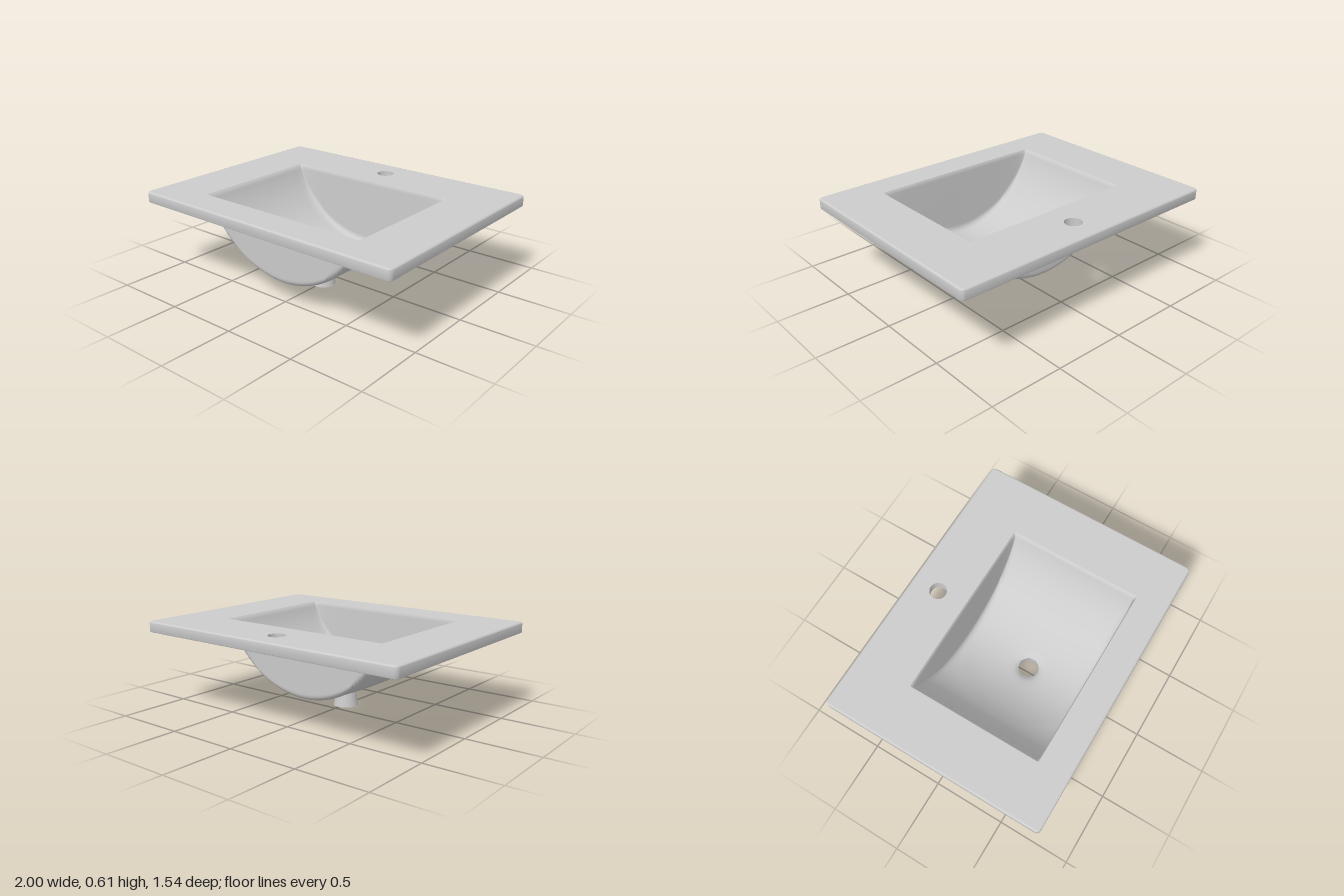
import * as THREE from 'three';
import { toCreasedNormals } from 'three/addons/utils/BufferGeometryUtils.js';

const TOP = 0.61, BOTTOM = 0.535, RECESS = 0.546;
const HALF_X = 1, HALF_Z = 0.77, CORNER = 0.03;
const DRAIN_Z = 0.12, DRAIN_R = 0.07, TAP_Z = -0.58, TAP_R = 0.058;
const ARC_R = 0.656, ARC_Y = 0.801;            // circular section of the basin
const U_MAX = Math.acos((ARC_Y - TOP) / ARC_R); // arc angle at the rim
const FRONT = 0.43, BACK = 0.488;              // drain to end walls
const DEPTH = TOP - (ARC_Y - ARC_R), FILLET = 0.04, FLARE = 1.015;

const material = new THREE.MeshStandardMaterial({ color: 0xcccccc, side: THREE.DoubleSide });

function part(name, geometry) {
  const mesh = new THREE.Mesh(geometry, material);
  mesh.name = name;
  return mesh;
}

// Indexed grid of rows of points, optionally closed around each row
function loft(rows) {
  const n = rows[0].length, index = [];
  for (let j = 0; j < rows.length - 1; j++) {
    for (let i = 0; i < n; i++) {
      const k = (i + 1) % n, a = j * n, b = a + n;
      index.push(a + i, b + k, b + i, a + i, a + k, b + k);
    }
  }
  const g = new THREE.BufferGeometry().setFromPoints(rows.flat());
  g.setIndex(index);
  g.computeVertexNormals();
  return g;
}

// Rounded slab outline, inset from the edge
function outline(inset) {
  const pts = [], r = Math.max(CORNER - inset, 0.008);
  for (let q = 0; q < 4; q++) {
    const sx = q === 0 || q === 3 ? 1 : -1, sz = q < 2 ? 1 : -1;
    for (let i = 0; i <= 6; i++) {
      const a = (q + i / 6) * Math.PI / 2;
      pts.push(new THREE.Vector2(
        sx * (HALF_X - inset - r) + r * Math.cos(a),
        sz * (HALF_Z - inset - r) + r * Math.sin(a)));
    }
  }
  return pts;
}

// Flat face with the basin opening and the tap hole cut out
function face(inset, y, x, zBack, zFront) {
  const shape = new THREE.Shape(outline(inset));
  shape.holes.push(
    new THREE.Path([
      new THREE.Vector2(-x, -zFront), new THREE.Vector2(-x, -zBack),
      new THREE.Vector2(x, -zBack), new THREE.Vector2(x, -zFront)]),
    new THREE.Path().absarc(0, -TAP_Z, TAP_R, 0, Math.PI * 2, true));
  return new THREE.ShapeGeometry(shape, 24).rotateX(-Math.PI / 2).translate(0, y, 0);
}

// Basin surface: u is the angle across, v the length along floor, fillet and end wall
function basinPoint(u, v) {
  const length = v > 0 ? FRONT : BACK, flat = length - FILLET - 0.01;
  const a = Math.abs(v), bend = FILLET * Math.PI / 2;
  let z = a, h = 0;
  if (a > flat + bend) {
    z = flat + FILLET;
    h = FILLET + a - flat - bend;
  } else if (a > flat) {
    const t = (a - flat) / FILLET;
    z = flat + FILLET * Math.sin(t);
    h = FILLET * (1 - Math.cos(t));
  }
  z = Math.sign(v) * (z + 0.01 * h / DEPTH);
  let x = ARC_R * Math.sin(u);
  const depth = TOP - (ARC_Y - ARC_R * Math.cos(u)), f = 1 - h / DEPTH;
  // Floor falls gently to the drain, then rolls over into it
  const d = Math.hypot(x, z);
  const dip = 0.03 * Math.max(0, 1 - d / 0.45) + 0.02 * Math.exp((DRAIN_R - d) / 0.018);
  const y = TOP - f * (depth + dip * Math.max(depth, 0) / DEPTH);
  // Softened rim
  const k = 1 + (FLARE - 1) * Math.max(0, (y - TOP + 0.025) / 0.025) ** 2;
  return new THREE.Vector3(x * k, y, DRAIN_Z + z * k);
}

function basinGeometry() {
  const rows = [], rings = 80, n = 160;
  const wall = DEPTH - FILLET + FILLET * Math.PI / 2 - FILLET - 0.01;
  for (let j = 0; j <= rings; j++) {
    const t = j / rings, row = [];
    for (let i = 0; i < n; i++) {
      const a = i / n * Math.PI * 2, c = Math.cos(a), s = Math.sin(a);
      const m = 1 / Math.max(Math.abs(c), Math.abs(s));
      const vMax = (s > 0 ? FRONT : BACK) + wall;
      const u = THREE.MathUtils.lerp(Math.asin(DRAIN_R * c / ARC_R), U_MAX * c * m, t);
      const v = THREE.MathUtils.lerp(DRAIN_R * s, vMax * s * m, t);
      row.push(basinPoint(u, v));
    }
    rows.push(row);
  }
  return loft(rows);
}

export function createModel() {
  const group = new THREE.Group();
  group.name = 'washbasin';

  // Slab: top face, rounded edge with stepped underside, recessed bottom face
  const rimX = ARC_R * Math.sin(U_MAX) * FLARE;
  group.add(part('countertop', face(0.012, TOP, rimX,
    DRAIN_Z - BACK * FLARE, DRAIN_Z + FRONT * FLARE)));
  const edge = [
    [0.012, TOP], [0.006, TOP - 0.0016], [0.0016, TOP - 0.006], [0, TOP - 0.012],
    [0, BOTTOM + 0.008], [0.0024, BOTTOM + 0.0024], [0.008, BOTTOM],
    [0.095, BOTTOM], [0.1, RECESS]];
  const edgeRows = edge.map(([inset, y]) =>
    outline(inset).map(p => new THREE.Vector3(p.x, y, p.y)));
  group.add(part('countertopEdge', toCreasedNormals(loft(edgeRows), 0.7)));
  group.add(part('underside', face(0.1, RECESS, 0.604,
    DRAIN_Z - BACK + 0.001, DRAIN_Z + FRONT - 0.001)));

  // Tap hole wall
  const tap = new THREE.CylinderGeometry(TAP_R, TAP_R, TOP - RECESS, 48, 1, true);
  tap.translate(0, (TOP + RECESS) / 2, TAP_Z);
  group.add(part('tapHole', tap));

  // Basin and flared drain pipe
  group.add(part('basin', basinGeometry()));
  const pipe = new THREE.LatheGeometry([
    new THREE.Vector2(0.085, 0), new THREE.Vector2(0.077, 0.055),
    new THREE.Vector2(DRAIN_R, 0.11)], 48);
  pipe.translate(0, 0, DRAIN_Z);
  group.add(part('drainPipe', pipe));
  return group;
}
